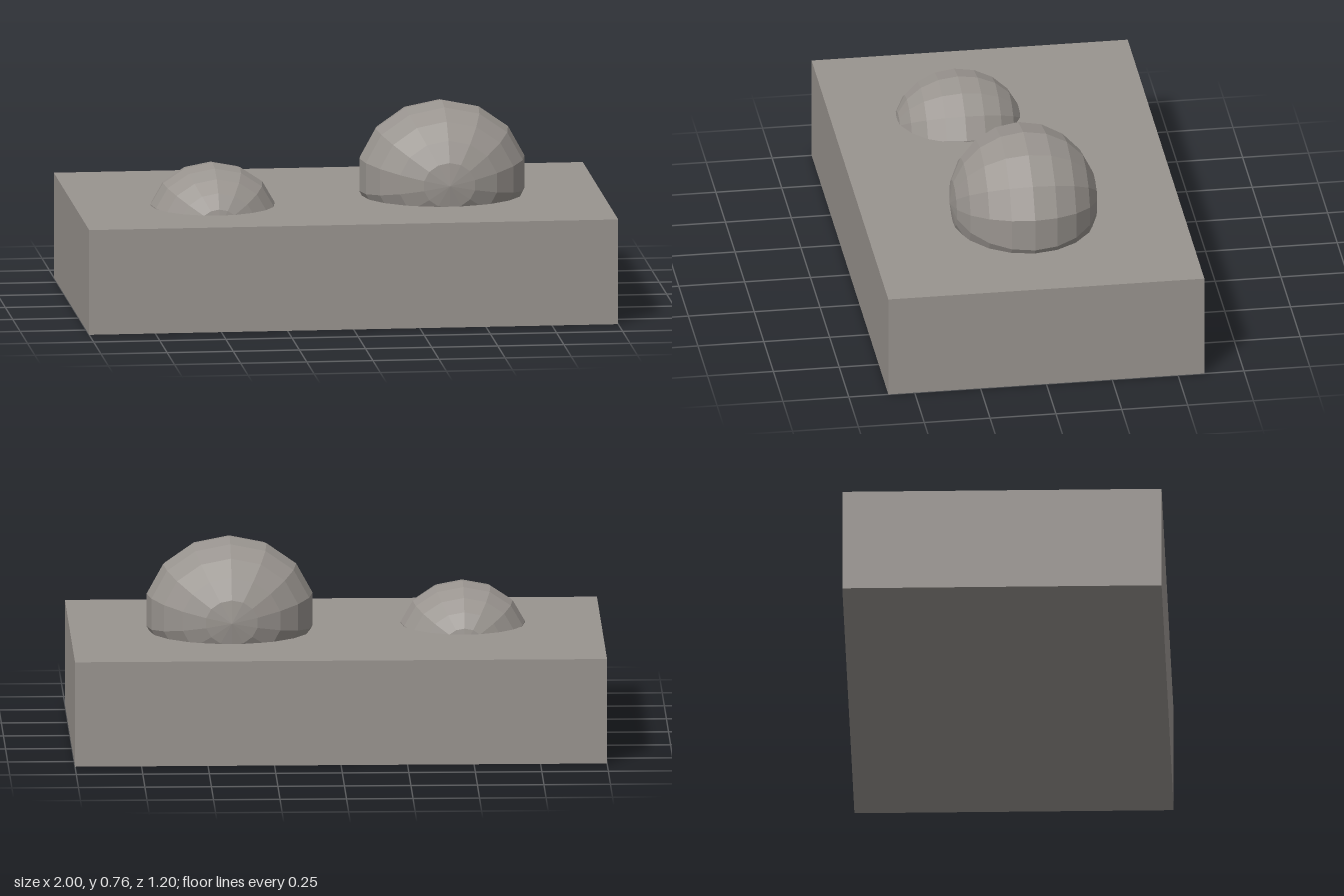
import * as THREE from 'three';

export function createModel() {
  const group = new THREE.Group();
  const stone = new THREE.MeshStandardMaterial({ color: 0x99948f, flatShading: true });
  stone.name = 'warm grey';

  const add = (name, geometry, x, y, z) => {
    const mesh = new THREE.Mesh(geometry, stone);
    mesh.name = name;
    mesh.position.set(x, y, z);
    group.add(mesh);
  };

  // Low-poly ellipsoid with its poles along z and a vertex at the top
  const boulder = (rx, ry, rz) =>
    new THREE.SphereGeometry(1, 14, 10)
      .rotateX(Math.PI / 2)
      .rotateZ(Math.PI / 2)
      .scale(rx, ry, rz);

  // Slab
  add('base', new THREE.BoxGeometry(2, 0.4, 1.2), 0, 0.2, 0);

  // Two domes partly sunk into the slab
  add('largeDome', boulder(0.32, 0.28, 0.28), 0.4, 0.48, 0);
  add('smallDome', boulder(0.24, 0.2, 0.24), -0.48, 0.36, 0.12);

  return group;
}
